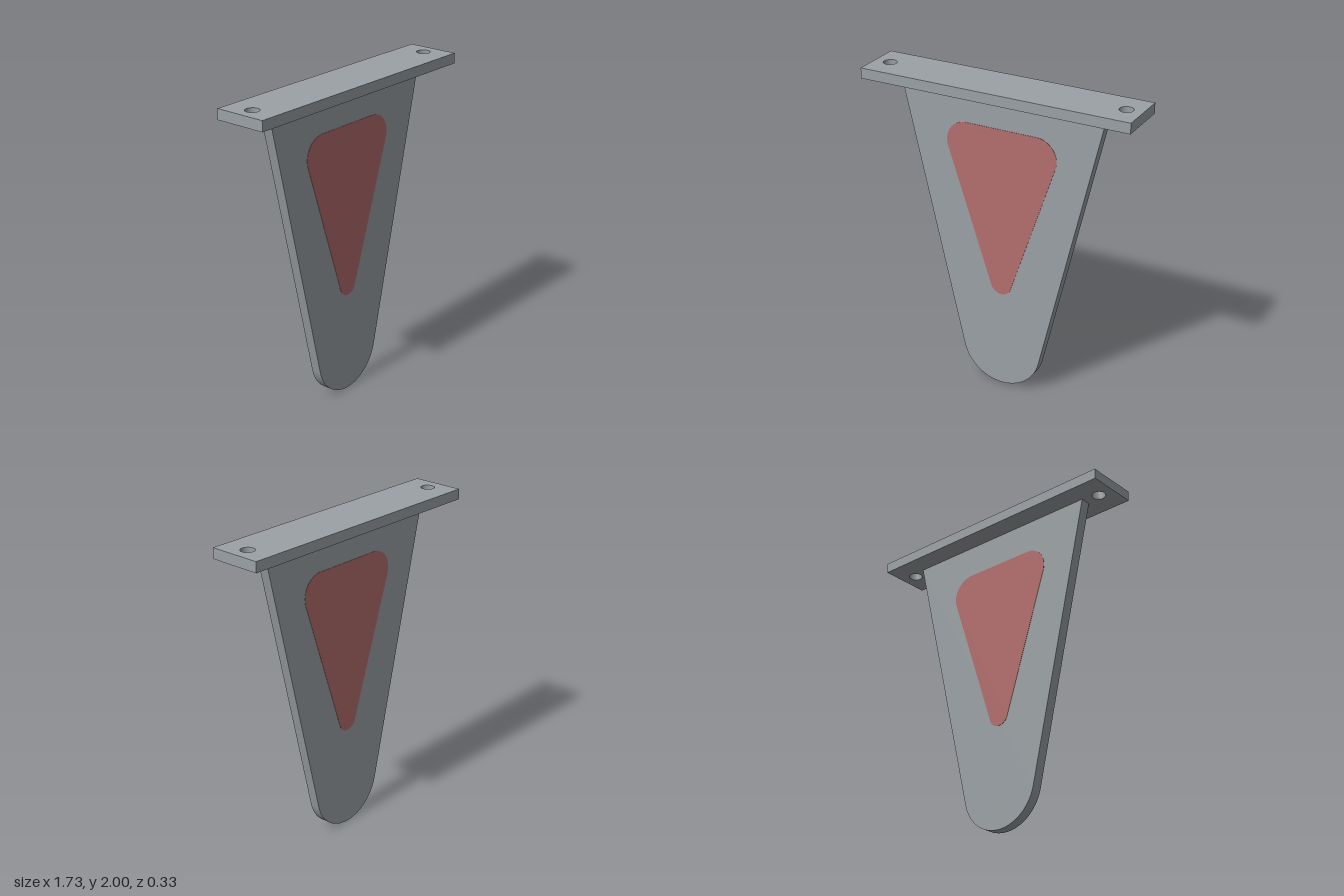
import * as THREE from 'three';

const gray = new THREE.MeshStandardMaterial({ color: 0x9ba1a5 });
gray.name = 'metal gray';
const red = new THREE.MeshStandardMaterial({ color: 0xb36d6d });
red.name = 'muted red';

// Extrude a shape, centred on its own depth
function slab(shape, depth) {
  const geometry = new THREE.ExtrudeGeometry(shape, { depth, bevelEnabled: false, curveSegments: 32 });
  return geometry.translate(0, 0, -depth / 2);
}

function addPart(group, name, geometry, material) {
  const mesh = new THREE.Mesh(geometry, material);
  mesh.name = name;
  group.add(mesh);
  return mesh;
}

export function createModel() {
  const group = new THREE.Group();
  group.name = 'bracket';

  // Mounting plate with two screw holes, laid flat
  const plate = new THREE.Shape();
  plate.moveTo(-0.865, -0.165).lineTo(0.865, -0.165).lineTo(0.865, 0.165).lineTo(-0.865, 0.165);
  for (const x of [-0.765, 0.765]) {
    plate.holes.push(new THREE.Path().absarc(x, 0, 0.042, 0, Math.PI * 2, true));
  }
  addPart(group, 'mountingPlate', slab(plate, 0.065).rotateX(-Math.PI / 2).translate(0, 1.9675, 0), gray);

  // Tapered fin, its sides tangent to the rounded tip
  const r = 0.267, a = 0.23;
  const fin = new THREE.Shape();
  fin.moveTo(0.665, 1.936).lineTo(-0.665, 1.936);
  fin.absarc(0, r, r, Math.PI + a, 2 * Math.PI - a, false);
  fin.closePath();
  addPart(group, 'fin', slab(fin, 0.066), gray);

  // Rounded triangular panel on both faces of the fin
  const b = 0.32;
  const panel = new THREE.Shape();
  panel.absarc(0.23, 1.602, 0.132, -b, Math.PI / 2, false);
  panel.absarc(-0.23, 1.602, 0.132, Math.PI / 2, Math.PI + b, false);
  panel.absarc(0, 0.712, 0.07, Math.PI + b, 2 * Math.PI - b, false);
  panel.closePath();
  for (const [name, z] of [['frontPanel', 0.033], ['backPanel', -0.033]]) {
    addPart(group, name, slab(panel, 0.004), red).position.z = z;
  }
  return group;
}
